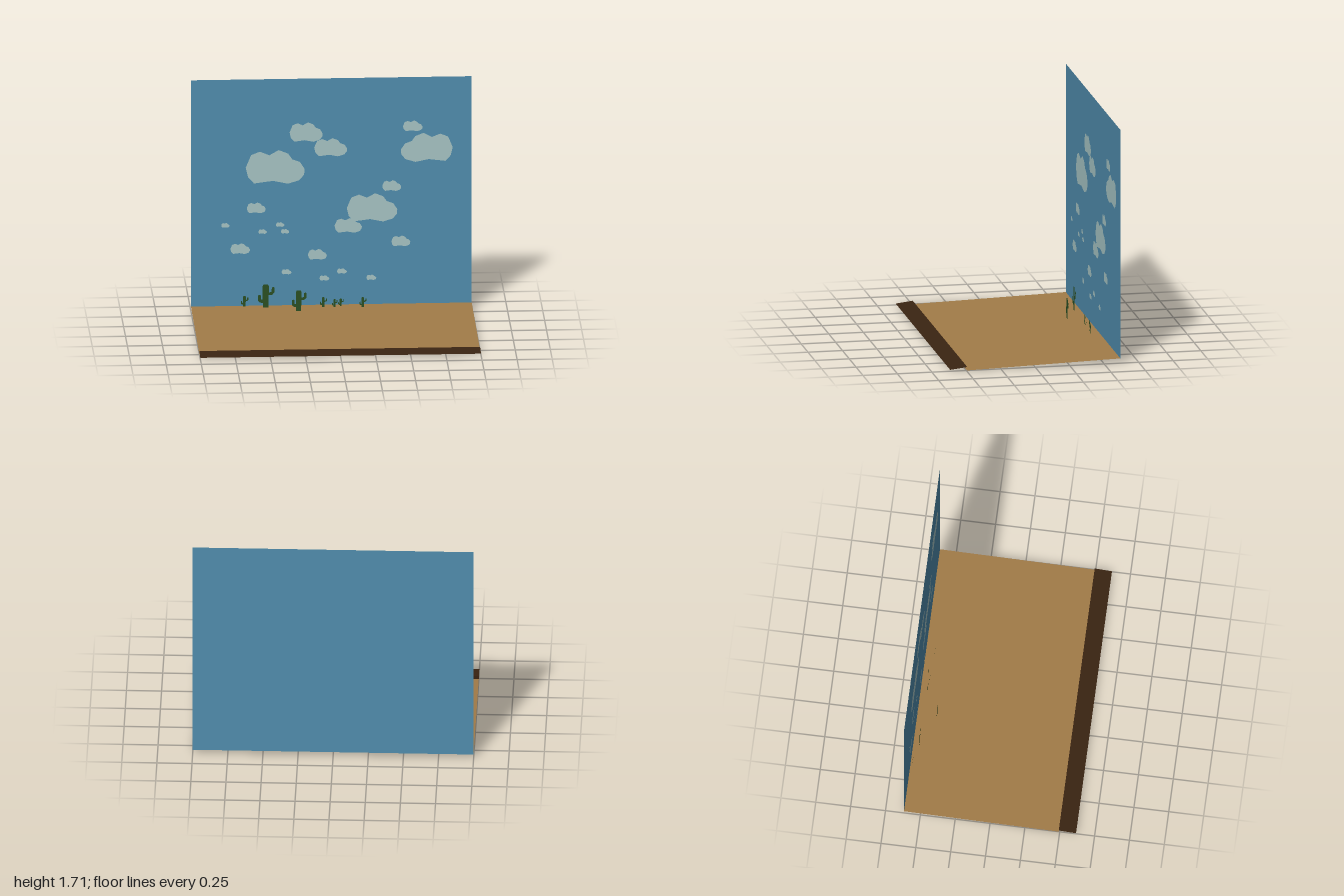
import * as THREE from 'three';

const BACK = -0.617, FRONT = 0.617, STEP = 0.495, GROUND_BACK = 0.035;

const paint = (color, side = THREE.DoubleSide) => new THREE.MeshStandardMaterial({ color, side });
const sky = paint(0x518eaf), cloudWhite = paint(0xa8c6c6), sand = paint(0xa27c48);
const soil = paint(0x3a2412), soilBack = paint(0x3a2412, THREE.FrontSide), green = paint(0x2b5023);

// Height of the gently sloping ground at depth z
const groundY = z => GROUND_BACK * (STEP - z) / (STEP - BACK);

function add(parent, name, geometry, material) {
  const mesh = new THREE.Mesh(geometry, material);
  mesh.name = name;
  parent.add(mesh);
  return mesh;
}

// Full-width sheet between two (y, z) lines
function sheet(yA, zA, yB, zB) {
  const g = new THREE.BufferGeometry();
  g.setAttribute('position', new THREE.Float32BufferAttribute(
    [-1, yA, zA, 1, yA, zA, 1, yB, zB, -1, yB, zB], 3));
  g.setIndex([0, 1, 2, 0, 2, 3]);
  g.computeVertexNormals();
  return g;
}

const flat = points => new THREE.ShapeGeometry(
  new THREE.Shape(points.map(([x, y]) => new THREE.Vector2(x, y))));

// Cloud outline in a unit box
const cloudShape = flat([
  [-0.5, -0.01], [-0.41, 0.36], [-0.26, 0.46], [-0.1, 0.35], [0.06, 0.5], [0.22, 0.39],
  [0.29, 0.22], [0.42, 0.14], [0.5, -0.07], [0.49, -0.24], [0.41, -0.4], [0.22, -0.5],
  [-0.04, -0.41], [-0.36, -0.48], [-0.46, -0.29]]);

// Cactus outline of height 1, standing on its trunk
const cactusShape = flat([
  [-0.11, 0], [0.11, 0], [0.12, 0.53], [0.27, 0.55], [0.35, 0.64], [0.36, 0.84], [0.32, 0.88],
  [0.25, 0.86], [0.24, 0.68], [0.13, 0.64], [0.13, 0.92], [0.08, 0.99], [-0.08, 0.99],
  [-0.13, 0.92], [-0.12, 0.34], [-0.19, 0.36], [-0.2, 0.53], [-0.25, 0.56], [-0.31, 0.52],
  [-0.31, 0.31], [-0.25, 0.23], [-0.12, 0.2]]);

// x, y, width, height (a negative width mirrors the cloud)
const clouds = [
  [-0.4, 1.06, 0.42, 0.25], [0.68, 1.19, -0.37, 0.215], [0.29, 0.75, 0.36, 0.21],
  [-0.18, 1.315, 0.235, 0.145], [-0.005, 1.2, 0.235, 0.135], [0.12, 0.62, 0.195, 0.11],
  [0.58, 1.35, 0.14, 0.08], [0.43, 0.91, 0.135, 0.08], [-0.535, 0.76, 0.135, 0.08],
  [-0.65, 0.46, 0.14, 0.08], [-0.1, 0.41, 0.135, 0.08], [0.495, 0.5, 0.135, 0.08],
  [-0.755, 0.635, 0.06, 0.035], [-0.49, 0.585, 0.06, 0.035], [-0.365, 0.635, 0.06, 0.035],
  [-0.33, 0.585, 0.06, 0.035], [-0.32, 0.285, 0.07, 0.04], [0.075, 0.285, 0.07, 0.04],
  [-0.05, 0.235, 0.07, 0.04], [0.285, 0.235, 0.07, 0.04]];

// x, distance from the wall, height
const cacti = [
  [-0.62, 0.015, 0.08], [-0.47, 0.045, 0.175], [-0.24, 0.14, 0.158], [-0.06, 0.05, 0.075],
  [0.02, 0.055, 0.06], [0.065, 0.04, 0.06], [0.22, 0.065, 0.075]];

export function createModel() {
  const model = new THREE.Group();
  model.name = 'desertBackdrop';

  // Sky wall, sloping ground and raised strip along the front
  add(model, 'skyWall', sheet(GROUND_BACK, BACK, 1.71, BACK), sky);
  add(model, 'ground', sheet(0, STEP, GROUND_BACK, BACK), sand);
  add(model, 'frontStrip', sheet(0.01, FRONT, 0.025, STEP - 0.002), soil);
  add(model, 'stripBack', sheet(0.025, STEP - 0.002, 0, STEP - 0.002), soilBack);

  // Clouds just in front of the wall, each on its own thin layer
  const cloudGroup = new THREE.Group();
  cloudGroup.name = 'clouds';
  model.add(cloudGroup);
  clouds.forEach(([x, y, w, h], i) => {
    const geometry = cloudShape.clone();
    if (w < 0) geometry.rotateY(Math.PI);
    geometry.scale(Math.abs(w), h, 1);
    add(cloudGroup, 'cloud', geometry, cloudWhite).position.set(x, y, BACK + 0.003 + i * 0.0003);
  });

  // Flat cacti, rooted slightly below the ground
  const cactusGroup = new THREE.Group();
  cactusGroup.name = 'cacti';
  model.add(cactusGroup);
  for (const [x, d, h] of cacti) {
    const cactus = add(cactusGroup, 'cactus', cactusShape.clone().scale(h, h, 1), green);
    cactus.position.set(x, groundY(BACK + d) - 0.003, BACK + d);
  }
  return model;
}
